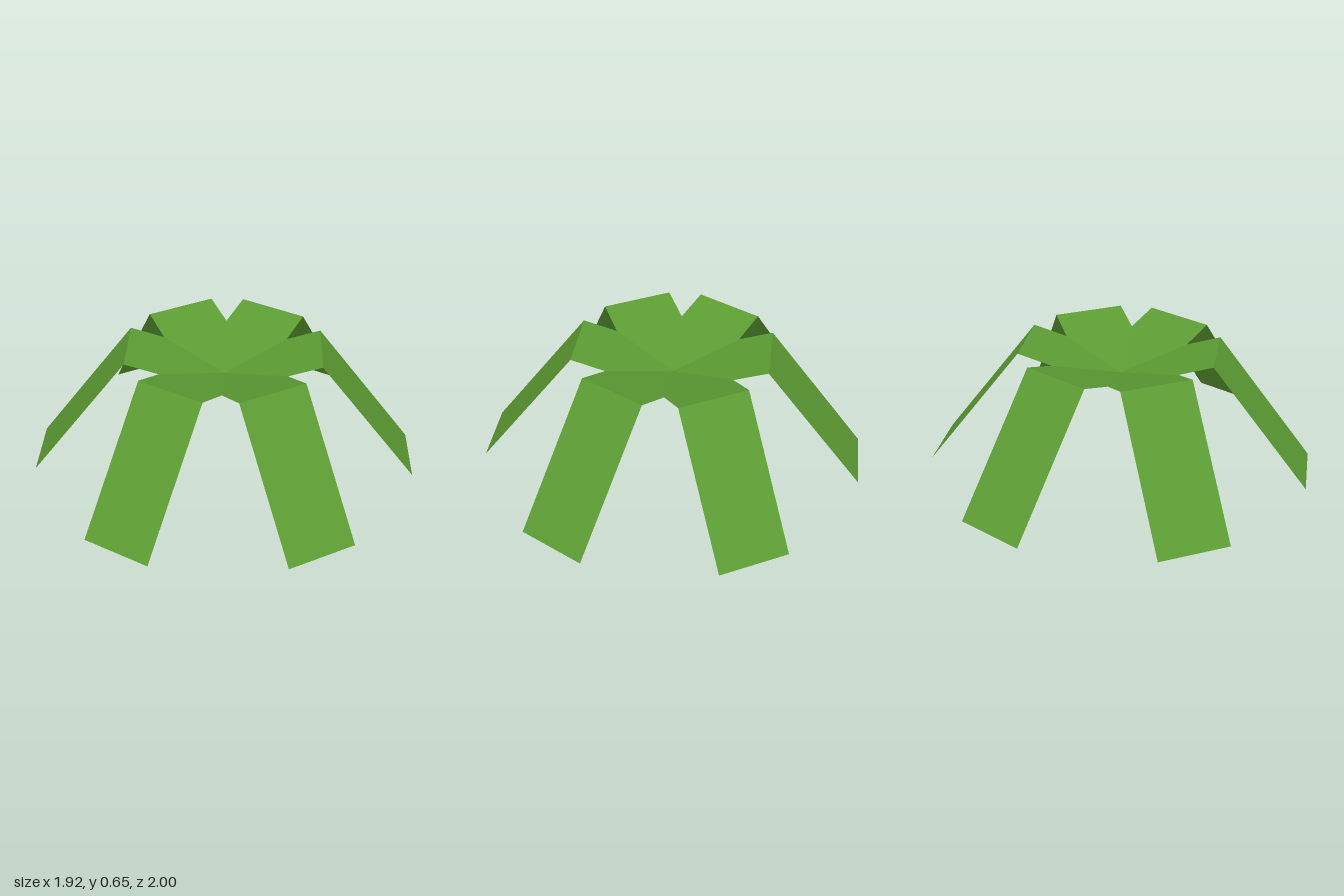
import * as THREE from 'three';

const BLADES = 6;
const WIDTH = 0.376;
const CENTRE_Y = 0.5;   // height where the blades meet
const FOLD_Y = 0.655;   // height of the fold, halfway along

// A flat strip from the centre outwards, rising to a sharp fold and drooping to the ground
function bladeGeometry() {
  const strip = new THREE.PlaneGeometry(WIDTH, 1, 1, 2);
  strip.rotateX(-Math.PI / 2);
  strip.translate(0, 0, 0.5);
  const pos = strip.attributes.position;
  for (let i = 0; i < pos.count; i++) {
    const r = pos.getZ(i);
    const y = r < 0.25 ? CENTRE_Y : r < 0.75 ? FOLD_Y : 0;
    pos.setY(i, y);
  }
  const folded = strip.toNonIndexed();
  folded.computeVertexNormals();
  return folded;
}

export function createModel() {
  const model = new THREE.Group();
  model.name = 'grassTuft';

  const leafGreen = new THREE.MeshStandardMaterial({ color: 0x5c9c33 });
  leafGreen.name = 'leafGreen';
  leafGreen.side = THREE.DoubleSide;
  leafGreen.flatShading = true;

  // Six equal blades around the centre
  const geometry = bladeGeometry();
  for (let i = 0; i < BLADES; i++) {
    const blade = new THREE.Mesh(geometry, leafGreen);
    blade.name = `blade${i + 1}`;
    blade.rotation.y = (i / BLADES) * Math.PI * 2;
    model.add(blade);
  }
  return model;
}
